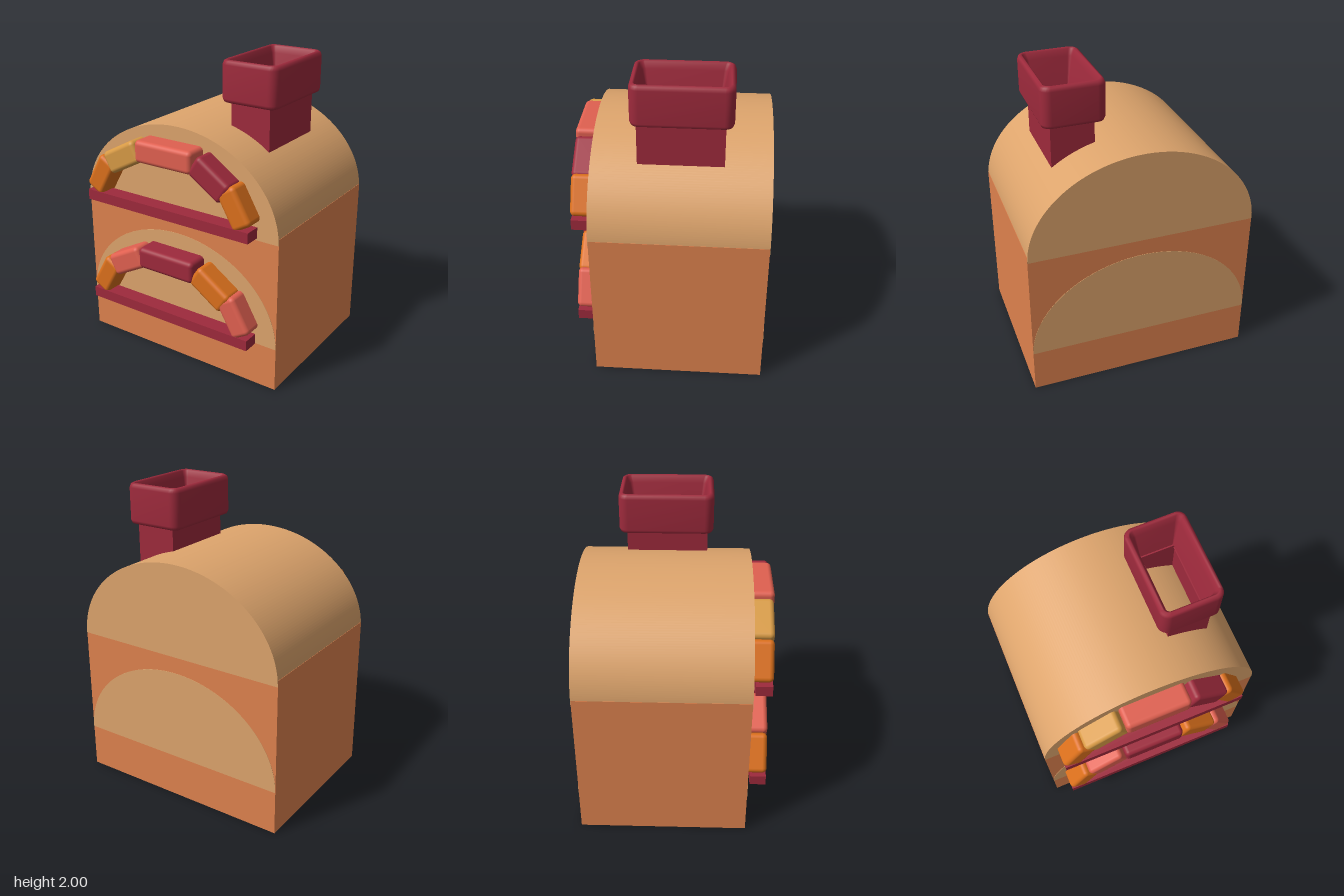
import * as THREE from 'three';
import { RoundedBoxGeometry } from 'three/addons/geometries/RoundedBoxGeometry.js';

const mat = (color) => new THREE.MeshStandardMaterial({ color });
const MATS = {
  tan: mat(0xdda46c), clay: mat(0xde824e), crimson: mat(0x9e2a3c),
  coral: mat(0xe06050), orange: mat(0xdb701c), amber: mat(0xd79a45),
};
MATS.crimson.side = THREE.DoubleSide;

function add(parent, name, geometry, material, x = 0, y = 0, z = 0) {
  const mesh = new THREE.Mesh(geometry, material);
  mesh.name = name;
  mesh.position.set(x, y, z);
  parent.add(mesh);
  return mesh;
}

// Half-ellipse slab running front to back
function vaultGeometry(rx, ry, depth) {
  const shape = new THREE.Shape();
  shape.moveTo(rx, 0);
  shape.absellipse(0, 0, rx, ry, 0, Math.PI, false);
  shape.closePath();
  return new THREE.ExtrudeGeometry(shape, { depth, bevelEnabled: false, curveSegments: 64 });
}

// Ring of points around a rounded rectangle lying flat at height y
function rectRing(hx, hz, r, y, corner = 6) {
  const pts = [];
  for (let q = 0; q < 4; q++) {
    const sx = q === 0 || q === 3 ? 1 : -1;
    const sz = q < 2 ? 1 : -1;
    for (let i = 0; i <= corner; i++) {
      const a = (q + i / corner) * Math.PI / 2;
      pts.push([sx * (hx - r) + r * Math.cos(a), y, sz * (hz - r) + r * Math.sin(a)]);
    }
  }
  return pts;
}

// Skin joining consecutive rings of equal length
function loft(rings) {
  const n = rings[0].length;
  const index = [];
  for (let j = 0; j < rings.length - 1; j++) {
    for (let i = 0; i < n; i++) {
      const a = j * n + i, b = j * n + (i + 1) % n;
      index.push(a, a + n, b, b, a + n, b + n);
    }
  }
  const g = new THREE.BufferGeometry();
  g.setAttribute('position', new THREE.Float32BufferAttribute(rings.flat(2), 3));
  g.setIndex(index);
  g.computeVertexNormals();
  return g;
}

// Five bricks over a sill; y is the springing height of the arch
function ovenMouth(name, y, colors) {
  const group = new THREE.Group();
  group.name = name;
  // x, y, length, height, tilt in degrees, front z
  const bricks = [
    [-0.53, 0.215, 0.26, 0.14, 60, 0.607],
    [-0.345, 0.37, 0.28, 0.15, 28, 0.61],
    [-0.01, 0.44, 0.43, 0.146, 0, 0.62],
    [0.32, 0.36, 0.28, 0.15, -34, 0.61],
    [0.495, 0.215, 0.26, 0.14, -60, 0.607],
  ];
  bricks.forEach(([bx, by, len, h, tilt, front], i) => {
    const depth = front - 0.4;
    const geo = new RoundedBoxGeometry(len, h, depth, 4, 0.03);
    const brick = add(group, 'archBrick' + (i + 1), geo, MATS[colors[i]], bx, by, front - depth / 2);
    brick.rotation.z = THREE.MathUtils.degToRad(tilt);
  });
  add(group, 'sill', new THREE.BoxGeometry(1.245, 0.07, 0.105), MATS.crimson, -0.017, 0.06, 0.5525);
  group.position.y = y;
  return group;
}

export function createModel() {
  const model = new THREE.Group();
  model.name = 'brickOven';

  // Body block with two vaults that show on its front and back
  add(model, 'body', new THREE.BoxGeometry(1.487, 1.05, 1.1), MATS.clay, 0, 0.525, -0.07);
  add(model, 'roofVault', vaultGeometry(0.743, 0.605, 1.104), MATS.tan, 0, 1.01, -0.622);
  add(model, 'lowerVault', vaultGeometry(0.743, 0.605, 1.104), MATS.tan, 0, 0.295, -0.622);

  model.add(ovenMouth('upperMouth', 1.01, ['orange', 'amber', 'coral', 'crimson', 'orange']));
  model.add(ovenMouth('lowerMouth', 0.28, ['orange', 'coral', 'crimson', 'orange', 'coral']));

  // Hollow chimney: straight shaft with a flared, rounded cap
  const chimney = new THREE.Group();
  chimney.name = 'chimney';
  const shaft = new THREE.Shape();
  const rect = (path, hx, hz) => path.moveTo(-hx, -hz).lineTo(hx, -hz).lineTo(hx, hz).lineTo(-hx, hz).closePath();
  rect(shaft, 0.138, 0.264);
  const flue = new THREE.Path();
  rect(flue, 0.112, 0.215);
  shaft.holes.push(flue);
  const shaftGeo = new THREE.ExtrudeGeometry(shaft, { depth: 0.3, bevelEnabled: false });
  shaftGeo.rotateX(-Math.PI / 2);
  add(chimney, 'shaft', shaftGeo, MATS.crimson, 0.007, 1.45, 0.005);

  // Cap rings run from the underside, up the outside, over the rim and down the inside
  const profile = [ // inset, corner radius, y
    [0.09, 0.01, 1.73], [0.03, 0.035, 1.73], [0.009, 0.05, 1.739], [0, 0.06, 1.76],
    [0, 0.06, 1.97], [0.008, 0.052, 1.991], [0.024, 0.04, 2.0],
    [0.034, 0.03, 1.99], [0.05, 0.025, 1.95], [0.088, 0.006, 1.75],
  ];
  const rings = profile.map(([inset, r, y]) => rectRing(0.2 - inset, 0.307 - inset, r, y));
  add(chimney, 'cap', loft(rings), MATS.crimson);
  chimney.position.set(0.35, 0, -0.073);
  model.add(chimney);

  return model;
}
